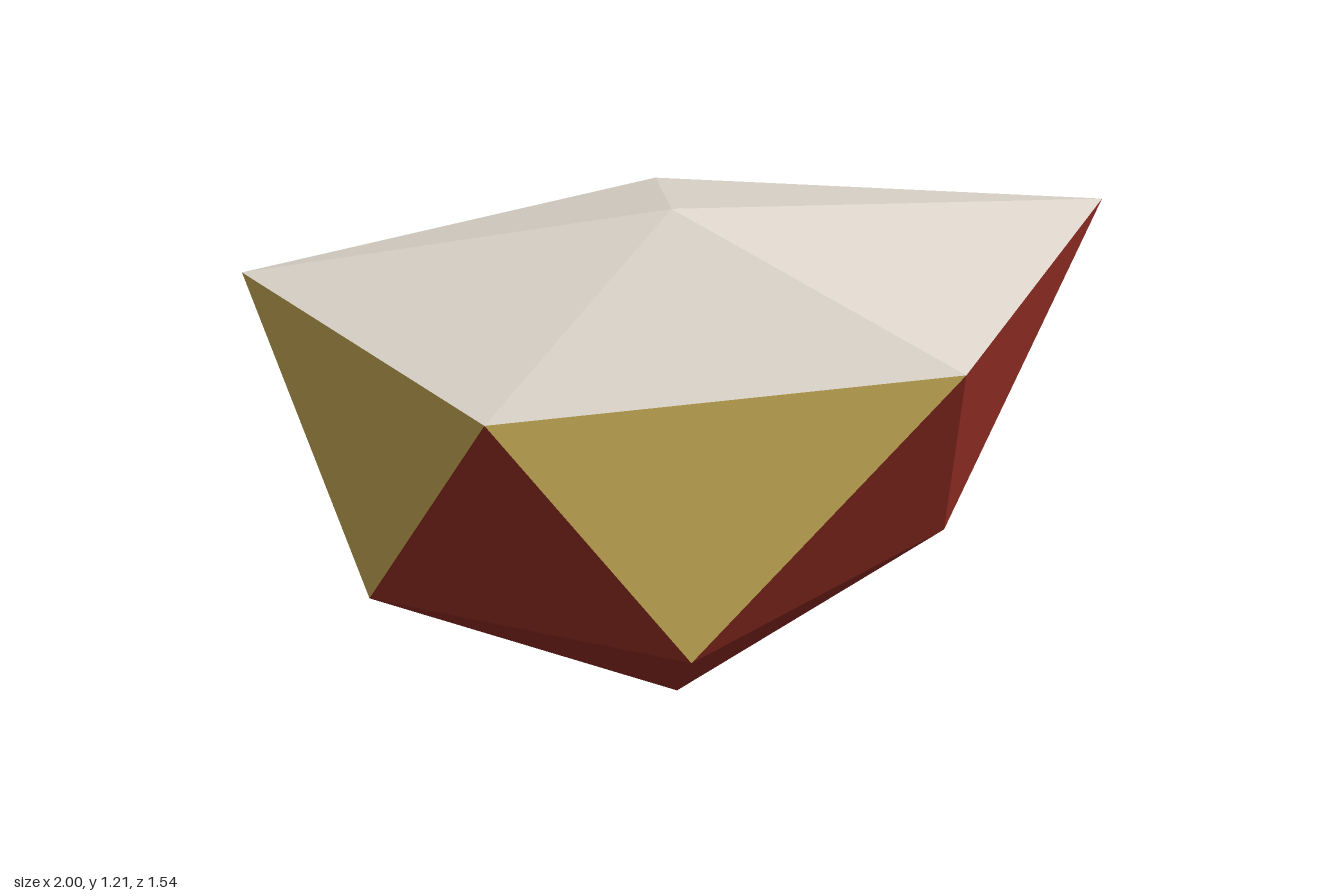
import * as THREE from 'three';

// Irregular twenty-sided rock: two poles and two staggered rings of five corners
const TOP = [-0.16, 1.207, 0.03];
const BOTTOM = [-0.16, 0, 0.03];
const UPPER = [
  [1, 1.08, 0.03], [0.14, 1.02, 0.77], [-0.73, 0.92, 0.36], [-1, 1.04, -0.46], [0.16, 1.04, -0.76],
];
const LOWER = [
  [0.38, 0.45, 0.345], [-0.39, 0.415, 0.6], [-0.9, 0.42, 0.03], [-0.49, 0.305, -0.775], [0.4, 0.43, -0.3],
];

function facetMesh(name, triangles, material) {
  const geometry = new THREE.BufferGeometry();
  geometry.setAttribute('position', new THREE.Float32BufferAttribute(triangles.flat(2), 3));
  geometry.computeVertexNormals();
  const mesh = new THREE.Mesh(geometry, material);
  mesh.name = name;
  return mesh;
}

function flatMaterial(name, color) {
  const material = new THREE.MeshStandardMaterial({ color });
  material.name = name;
  return material;
}

export function createModel() {
  const cap = [], inlay = [], body = [];
  for (let i = 0; i < 5; i++) {
    const next = (i + 1) % 5, prev = (i + 4) % 5;
    cap.push([TOP, UPPER[next], UPPER[i]]);
    // downward side facets: three are gold, the rest join the red body
    const side = i >= 1 && i <= 3 ? inlay : body;
    side.push([UPPER[next], LOWER[i], UPPER[i]]);
    body.push([UPPER[i], LOWER[i], LOWER[prev]]);
    body.push([LOWER[next], BOTTOM, LOWER[i]]);
  }

  const group = new THREE.Group();
  group.name = 'facetedRock';
  group.add(
    facetMesh('topCap', cap, flatMaterial('cream', 0xdfd7cc)),
    facetMesh('goldFacets', inlay, flatMaterial('gold', 0xd4b65c)),
    facetMesh('redBody', body, flatMaterial('darkRed', 0x9c3026)),
  );
  return group;
}
